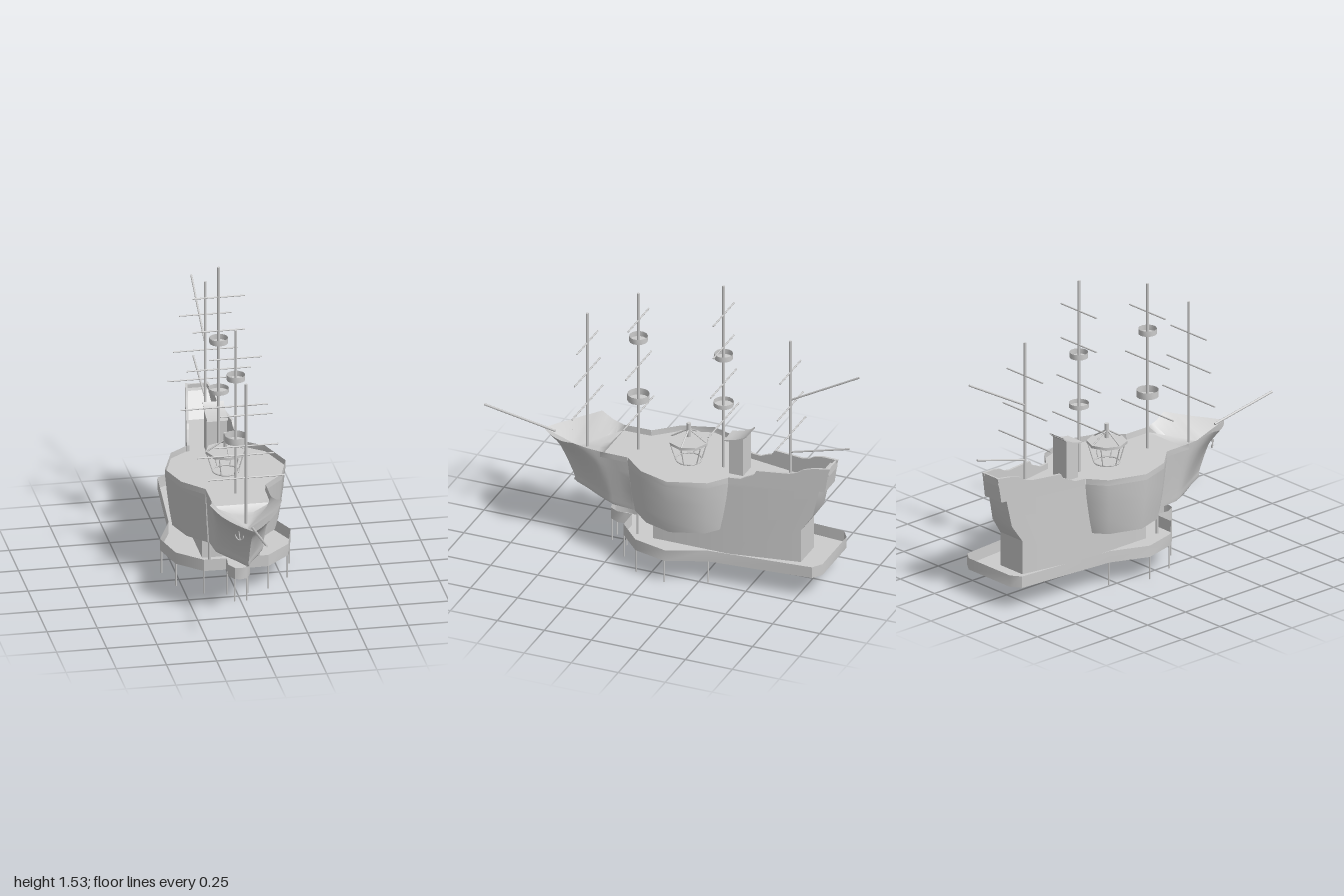
import * as THREE from 'three';
import { toCreasedNormals } from 'three/addons/utils/BufferGeometryUtils.js';

const mat = new THREE.MeshStandardMaterial({ color: 0xcccccc, side: THREE.DoubleSide });
const lerp = THREE.MathUtils.lerp;
const DECK = 0.52;

// Piecewise-linear lookup through [t, value] points
function pw(pts, t) {
  for (let i = 1; i < pts.length; i++) {
    if (t <= pts[i][0]) {
      const [a, va] = pts[i - 1], [b, vb] = pts[i];
      return lerp(va, vb, (t - a) / (b - a));
    }
  }
  return pts[pts.length - 1][1];
}

// Skin through equal-length rows of [x, y, z]
function loft(rows, crease = 0.7) {
  const n = rows[0].length, index = [];
  for (let i = 0; i < rows.length - 1; i++) {
    for (let j = 0; j < n - 1; j++) {
      const a = i * n + j, b = a + n;
      index.push(a, b, a + 1, b, b + 1, a + 1);
    }
  }
  const g = new THREE.BufferGeometry();
  g.setAttribute('position', new THREE.Float32BufferAttribute(rows.flat(2), 3));
  g.setIndex(index);
  return toCreasedNormals(g, crease);
}

// Mirror a half outline of [x, z] into a closed loop
const closeLoop = half => [...half, ...half.map(([x, z]) => [-x, z]).reverse(), half[0]];

export function createModel() {
  const model = new THREE.Group();
  const add = (name, geo, parent = model) => {
    const m = new THREE.Mesh(geo, mat);
    m.name = name;
    parent.add(m);
    return m;
  };
  const group = name => {
    const g = new THREE.Group();
    g.name = name;
    model.add(g);
    return g;
  };
  // Round bar between two points
  const bar = (name, a, b, r, parent = model, sides = 8) => {
    const p = new THREE.Vector3(...a), q = new THREE.Vector3(...b);
    const d = q.clone().sub(p);
    const m = add(name, new THREE.CylinderGeometry(r, r, d.length(), sides), parent);
    m.position.copy(p).add(q).multiplyScalar(0.5);
    m.quaternion.setFromUnitVectors(new THREE.Vector3(0, 1, 0), d.normalize());
    return m;
  };
  const at = (outline, y, s) => outline.map(([x, z]) => [x * s, y, -0.09 + (z + 0.09) * s]);

  // Base tray with its rim and legs
  const tray = closeLoop([[0, 0.32], [0.03, 0.312], [0.055, 0.265], [0.05, 0.22], [0.05, 0.19],
    [0.16, 0.188], [0.28, 0.075], [0.325, -0.1], [0.245, -0.295], [0.2, -0.83], [0.15, -0.865]]);
  add('baseTray', loft([at(tray, 0.18, 1), at(tray, 0.12, 1), at(tray, 0.12, 0)]));
  const legs = group('baseLegs');
  for (const [x, z] of [[0.03, 0.305], [0.05, 0.22], [0.16, 0.185], [0.277, 0.07], [0.318, -0.095], [0.24, -0.295]]) {
    for (const s of [-1, 1]) bar('baseLeg', [s * x, 0, z], [s * x, 0.12, z], 0.004, legs);
  }
  for (const s of [-1, 1]) bar('hullPost', [s * 0.122, 0.12, 0.13], [s * 0.122, 0.26, 0.13], 0.007);

  // Wide middle hull with a flat deck and a thin bulwark along each side
  const drum = [[0, 0.17], [0.15, 0.17], [0.25, 0.06], [0.3, -0.1], [0.235, -0.29], [0.145, -0.36], [0, -0.39]];
  const drumLoop = closeLoop(drum);
  add('middleHull', loft([[0.25, 0], [0.25, 0.88], [0.33, 0.925], [0.42, 0.965], [DECK, 1], [DECK, 0]]
    .map(([y, s]) => at(drumLoop, y, s))));
  for (const s of [1, -1]) {
    const side = drum.slice(1, -1).map(([x, z]) => [s * x, z]);
    add(s > 0 ? 'leftDeckBulwark' : 'rightDeckBulwark', loft([at(side, DECK, 1), at(side, 0.55, 1)]));
  }

  // Tapered stern: side profile extruded, then narrowed towards the back
  const halfWidth = z => Math.min(0.142, lerp(0.142, 0.06, (z + 0.36) / -0.48));
  const sternPart = (name, pts, inner, outer) => {
    const shape = new THREE.Shape(pts.map(p => new THREE.Vector2(...p)));
    const g = new THREE.ExtrudeGeometry(shape, { depth: 1, bevelEnabled: false });
    const p = g.attributes.position;
    for (let i = 0; i < p.count; i++) {
      const z = p.getX(i), w = halfWidth(z);
      p.setXYZ(i, p.getZ(i) > 0.5 ? outer(w) : inner(w), p.getY(i), z);
    }
    add(name, toCreasedNormals(g, 0.5));
  };
  const sternDeck = [[-0.36, DECK], [-0.73, DECK], [-0.82, 0.635], [-0.857, 0.64]];
  sternPart('sternHull', [[0.04, 0.125], [0.04, 0.5], [-0.36, 0.5], ...sternDeck, [-0.84, 0.53],
    [-0.81, 0.53], [-0.78, 0.39], [-0.72, 0.3], [-0.72, 0.125], [-0.36, 0.125]], w => -w, w => w);
  const rail = [...sternDeck, [-0.862, 0.66], [-0.78, 0.653], [-0.73, 0.64], [-0.7, 0.62], [-0.66, 0.61],
    [-0.5, 0.605], [-0.485, 0.58], [-0.45, 0.565], [-0.42, 0.55], [-0.36, 0.55]];
  sternPart('leftBulwark', rail, w => w - 0.012, w => w);
  sternPart('rightBulwark', rail, w => -w, w => 0.012 - w);
  const transom = add('transomRail', new THREE.BoxGeometry(0.11, 0.04, 0.01));
  transom.position.set(0, 0.638, -0.852);

  // Flared bow with a raked stem and a sunken floor
  const stem = [[0, 0.45], [0.03, 0.505], [0.07, 0.52], [0.14, 0.515], [0.3, 0.535], [0.5, 0.56], [0.75, 0.6], [0.9, 0.65], [1, 0.68]];
  const topW = [[0, 0.15], [0.33, 0.148], [0.45, 0.161], [0.57, 0.18], [0.72, 0.14], [0.85, 0.085], [0.94, 0.04], [1, 0]];
  const lowW = [[0, 0.125], [0.4, 0.115], [0.6, 0.078], [0.8, 0.035], [1, 0]];
  const topY = [[0, DECK], [0.055, DECK], [0.06, 0.55], [0.33, 0.55], [0.45, 0.562], [0.57, 0.585], [0.68, 0.565], [0.8, 0.548], [1, 0.53]];
  const ledgeY = [[0, DECK], [0.33, DECK], [0.67, 0.47], [1, 0.53]];
  const ledgeW = [[0, 0.147], [0.33, 0.147], [0.67, 0], [1, 0]];
  const floorY = [[0, DECK], [0.33, DECK], [0.39, 0.49], [0.67, 0.47], [1, 0.53]];
  const floorW = [[0, 0.07], [0.33, 0.07], [0.67, 0], [1, 0]];
  const levels = [1, 0.94, 0.88, 0.79, 0.7, 0.58, 0.45, 0.32, 0.2, 0.13, 0.07, 0.03, 0];
  const stations = [0, 0.055, 0.06, 0.2, 0.33, 0.39, 0.45, 0.51, 0.57, 0.62, 0.67, 0.73, 0.8, 0.86, 0.92, 0.97, 1];
  for (const s of [1, -1]) {
    add(s > 0 ? 'leftBow' : 'rightBow', loft(stations.map(u => {
      const zTop = lerp(0.14, 0.68, u), fy = pw(floorY, u), keelY = 0.25 + 0.01 * u * u;
      const row = [[0, fy, zTop], [s * pw(floorW, u), fy, zTop], [s * pw(ledgeW, u), pw(ledgeY, u), zTop]];
      for (const v of levels) {
        const flare = lerp(v, v ** 1.8, Math.min(1, u * 1.6));
        row.push([s * lerp(pw(lowW, u), pw(topW, u), flare), lerp(keelY, pw(topY, u), v),
          lerp(0.14, pw(stem, v), u)]);
      }
      row.push([0, keelY, lerp(0.14, 0.45, u)]);
      return row;
    })));
  }
  bar('bowsprit', [0, 0.525, 0.62], [0, 0.592, 0.998], 0.006);

  // Small anchor on the right of the bow
  const anchor = group('anchor');
  bar('anchorShank', [0, -0.035, 0], [0, 0.03, 0], 0.003, anchor);
  bar('anchorStock', [-0.018, 0.02, 0], [0.018, 0.02, 0], 0.003, anchor);
  add('anchorRing', new THREE.TorusGeometry(0.008, 0.002, 6, 12), anchor).position.y = 0.037;
  const arms = add('anchorArms', new THREE.TorusGeometry(0.026, 0.003, 6, 14, Math.PI), anchor);
  arms.rotation.z = Math.PI;
  arms.position.y = -0.012;
  anchor.position.set(-0.055, 0.475, 0.555);
  anchor.rotation.set(0, -0.9, 0.15);

  // Masts with yards [height, half length] and lookout cups [height, radius, depth]
  const masts = [
    ['foremast', 0.45, 0.47, 1.22, [[0.72, 0.19], [0.89, 0.16], [1.055, 0.13]], []],
    ['secondMast', 0.178, DECK, 1.39, [[0.72, 0.19], [0.985, 0.16], [1.24, 0.13]], [[0.813, 0.055, 0.035], [1.14, 0.046, 0.028]]],
    ['mainMast', -0.275, DECK, 1.53, [[0.78, 0.19], [0.985, 0.16], [1.19, 0.13], [1.37, 0.13]], [[0.875, 0.05, 0.022], [1.14, 0.046, 0.028]]],
    ['mizzenMast', -0.63, DECK, 1.3, [[0.78, 0.19], [0.935, 0.16], [1.125, 0.13]], []],
  ];
  for (const [name, z, y0, y1, yards, cups] of masts) {
    const g = group(name);
    bar('mastPole', [0, y0, z], [0, y1, z], 0.007, g, 12);
    for (const [y, w] of yards) bar('yard', [-w, y, z], [w, y, z], 0.004, g);
    for (const [y, r, h] of cups) {
      const pts = [[0, -h / 2], [r, -h / 2], [r, h / 2]];
      const cup = new THREE.LatheGeometry(pts.map(p => new THREE.Vector2(...p)), 14);
      add('lookoutCup', toCreasedNormals(cup, 0.7), g).position.set(0, y, z);
    }
  }
  bar('upperGaff', [0, 0.97, -0.63], [0, 1.175, -0.998], 0.005);
  bar('lowerGaff', [0, 0.68, -0.63], [0, 0.765, -0.945], 0.005);

  // Lantern stand in the middle of the deck: disc on splayed legs with a pointed frame
  const stand = group('lanternStand');
  stand.position.set(0, 0, -0.09);
  add('standDisc', new THREE.CylinderGeometry(0.1, 0.1, 0.014, 8).toNonIndexed(), stand).position.y = 0.627;
  const foot = add('footRing', new THREE.TorusGeometry(0.064, 0.004, 6, 16), stand);
  foot.rotation.x = Math.PI / 2;
  foot.position.y = DECK + 0.004;
  for (let i = 0; i < 6; i++) {
    const a = i * Math.PI / 3, c = Math.cos(a), s = Math.sin(a);
    bar('standLeg', [c * 0.064, DECK, s * 0.064], [c * 0.094, 0.622, s * 0.094], 0.003, stand, 6);
  }
  for (let i = 0; i < 4; i++) {
    const a = i * Math.PI / 2, c = Math.cos(a), s = Math.sin(a);
    bar('standSpoke', [c * 0.095, 0.632, s * 0.095], [0, 0.692, 0], 0.004, stand, 6);
  }
  bar('standFinial', [0, 0.65, 0], [0, 0.725, 0], 0.011, stand, 10);

  // Companionway hut under a curved, overhanging roof
  const hut = group('deckHut');
  const roof = [[-0.3, 0.7], [-0.325, 0.703], [-0.36, 0.712], [-0.4, 0.73], [-0.42, 0.747]];
  const hutSide = [[-0.325, DECK], ...roof.slice(1, 4), [-0.4, DECK]].map(p => new THREE.Vector2(...p));
  const hutBody = new THREE.ExtrudeGeometry(new THREE.Shape(hutSide), { depth: 0.1, bevelEnabled: false });
  add('hutBody', hutBody.rotateY(-Math.PI / 2).translate(0.05, 0, 0), hut);
  add('hutRoof', loft(roof.map(([z, y]) => [[-0.052, y - 0.005, z], [-0.052, y + 0.002, z], [0.052, y + 0.002, z],
    [0.052, y - 0.005, z], [-0.052, y - 0.005, z]])), hut);

  return model;
}
